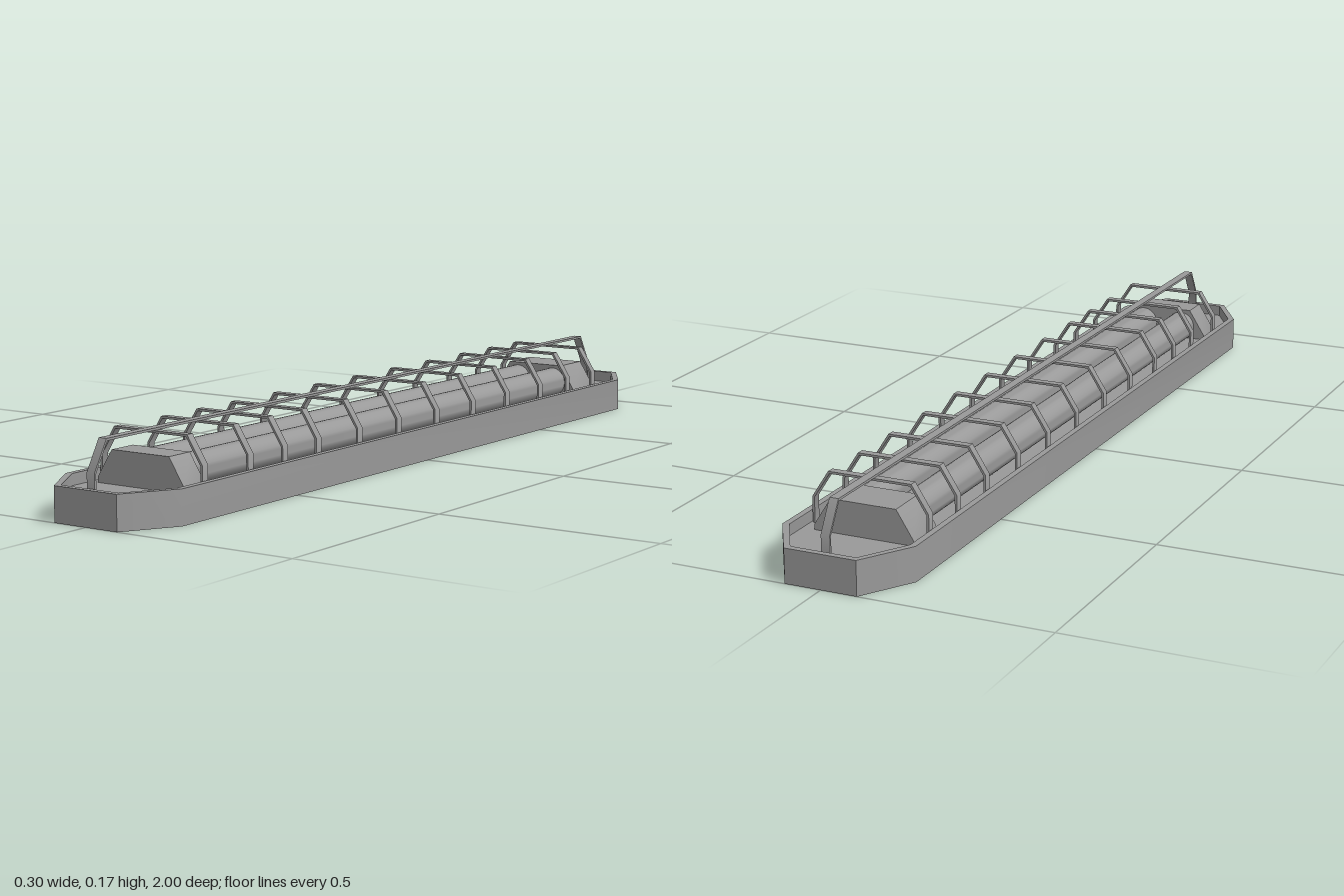
import * as THREE from 'three';
import { toCreasedNormals } from 'three/addons/utils/BufferGeometryUtils.js';

const material = new THREE.MeshStandardMaterial({ color: 0x999999 });
const FLOOR = 0.05, RIM = 0.075;

// Shallow bends shade smoothly, sharper corners stay crisp
function add(parent, name, geometry) {
  const mesh = new THREE.Mesh(toCreasedNormals(geometry, 0.7), material);
  mesh.name = name;
  parent.add(mesh);
  return mesh;
}

// Long octagon with cut corners
function octagon(x, z, cx, cz) {
  return [[cx, -z], [x, -cz], [x, cz], [cx, z], [-cx, z], [-x, cz], [-x, -cz], [-cx, -z]]
    .map(([a, b]) => new THREE.Vector2(a, b));
}

// Extrude a shape upwards between two heights
function slab(shape, y0, y1) {
  return new THREE.ExtrudeGeometry(shape, { depth: y1 - y0, bevelEnabled: false })
    .rotateX(-Math.PI / 2).translate(0, y0, 0);
}

// Bent flat strap: half outline mirrored, with an inner offset, extruded to its width
function strap(foot, shoulder, top, kneeY, thick, width) {
  const outer = [[foot, FLOOR], [foot, kneeY], [shoulder, top]];
  const inner = [[foot - thick, FLOOR], [foot - thick, kneeY - thick * 0.3], [shoulder - thick * 0.55, top - thick]];
  const mirror = (list) => list.map(([x, y]) => [-x, y]);
  const points = [...outer, ...mirror(outer).reverse(), ...mirror(inner), ...inner.slice().reverse()]
    .map(([x, y]) => new THREE.Vector2(x, y));
  return new THREE.ExtrudeGeometry(new THREE.Shape(points), { depth: width, bevelEnabled: false })
    .translate(0, 0, -width / 2);
}

export function createModel() {
  const group = new THREE.Group();
  group.name = 'cagedTubeLight';

  // Tray: outer wall with a raised rim, closed by a floor and an underside
  const outline = octagon(0.15, 1, 0.08, 0.885);
  const inside = octagon(0.136, 0.986, 0.073, 0.881);
  const tray = new THREE.Group();
  tray.name = 'tray';
  group.add(tray);
  const rim = new THREE.Shape(outline);
  rim.holes.push(new THREE.Path(inside));
  add(tray, 'trayWall', slab(rim, 0, RIM));
  add(tray, 'trayFloor', slab(new THREE.Shape(inside), 0, FLOOR));

  // Lamp: two tubes held between end blocks
  const lamp = new THREE.Group();
  lamp.name = 'lamp';
  lamp.position.x = -0.004;
  group.add(lamp);
  for (const side of [-1, 1]) {
    const tube = add(lamp, side > 0 ? 'leftTube' : 'rightTube',
      new THREE.CylinderGeometry(0.035, 0.035, 1.51, 32).rotateX(Math.PI / 2));
    tube.position.set(side * 0.05, 0.08, 0.01);
  }
  const profile = [[-0.112, FLOOR], [0.112, FLOOR], [0.112, 0.062], [0.074, 0.122], [-0.074, 0.122], [-0.112, 0.062]]
    .map(([x, y]) => new THREE.Vector2(x, y));
  for (const [name, z0, z1] of [['frontEndBlock', 0.758, 0.825], ['backEndBlock', -0.83, -0.732]]) {
    add(lamp, name, new THREE.ExtrudeGeometry(new THREE.Shape(profile), { depth: z1 - z0, bevelEnabled: false })
      .translate(0, 0, z0));
  }

  // Guard cage: cross ribs under one lengthwise strap
  const cage = new THREE.Group();
  cage.name = 'guardCage';
  group.add(cage);
  const ribZ = [-0.785, -0.66, -0.527, -0.373, -0.22, -0.065, 0.09, 0.244, 0.398, 0.518, 0.637, 0.788];
  for (const z of ribZ) {
    add(cage, 'crossRib', strap(0.132, 0.094, 0.165, 0.106, 0.005, 0.018)).position.z = z;
  }
  add(cage, 'longStrap', strap(0.979, 0.941, 0.17, 0.106, 0.005, 0.02).rotateY(Math.PI / 2)).position.z = 0.003;

  return group;
}
